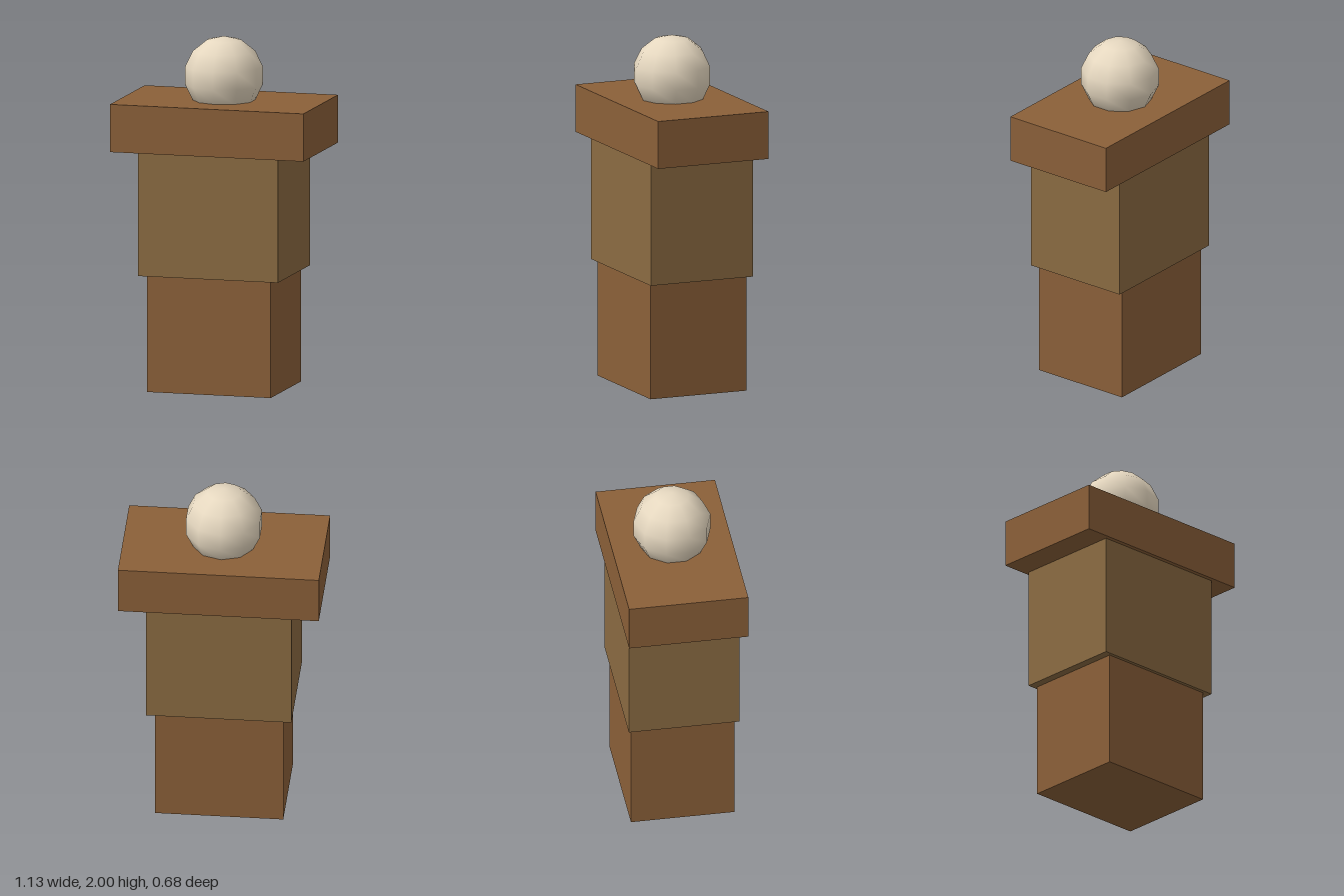
import * as THREE from 'three';

const material = (color) => new THREE.MeshStandardMaterial({ color });

export function createModel() {
  const model = new THREE.Group();
  model.name = 'blockFigure';

  const brown = material(0x8b6039);
  const tan = material(0x8b6b42);
  const cream = material(0xe6d8c0);

  // Stacked blocks: name, width, depth, bottom, top, material
  const blocks = [
    ['base', 0.725, 0.59, 0, 0.662, brown],
    ['torso', 0.82, 0.63, 0.662, 1.365, tan],
    ['shoulders', 1.135, 0.68, 1.365, 1.637, brown],
  ];
  for (const [name, width, depth, bottom, top, mat] of blocks) {
    const block = new THREE.Mesh(new THREE.BoxGeometry(width, top - bottom, depth), mat);
    block.name = name;
    block.position.y = (bottom + top) / 2;
    model.add(block);
  }

  // Low-poly smooth head, partly sunk into the shoulders, a corner facing forward
  const radius = 0.225;
  const head = new THREE.Mesh(new THREE.SphereGeometry(radius, 10, 7), cream);
  head.name = 'head';
  head.rotation.y = Math.PI / 2;
  head.position.y = 2 - radius;
  model.add(head);

  return model;
}
